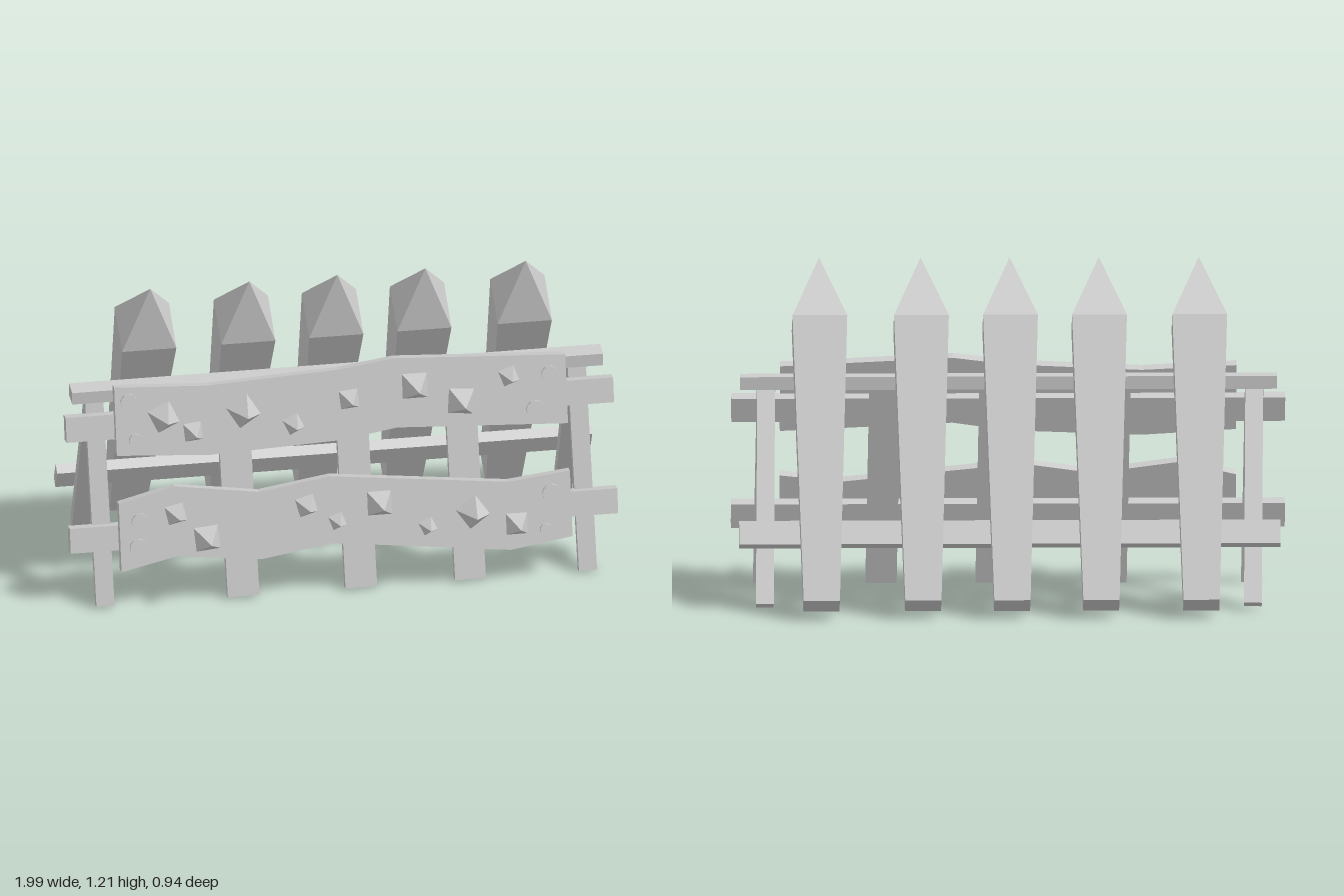
import * as THREE from 'three';

const material = new THREE.MeshStandardMaterial({ color: 0xcccccc, flatShading: true });
const TILT = THREE.MathUtils.degToRad(-15);
const UP = new THREE.Vector3(0, 1, 0);

function addMesh(parent, name, geometry) {
  const mesh = new THREE.Mesh(geometry, material);
  mesh.name = name;
  parent.add(mesh);
  return mesh;
}

// Square timber running from point a to point b
function addPost(parent, name, a, b, width, depth) {
  const start = new THREE.Vector3(...a), end = new THREE.Vector3(...b);
  const dir = end.clone().sub(start);
  const post = addMesh(parent, name, new THREE.BoxGeometry(width, dir.length(), depth));
  post.position.copy(start).add(end).multiplyScalar(0.5);
  post.quaternion.setFromUnitVectors(UP, dir.normalize());
}

// Horizontal timber, turned about its own length
function addRail(parent, name, length, height, depth, y, z, angle) {
  const rail = addMesh(parent, name, new THREE.BoxGeometry(length, height, depth));
  rail.position.set(0, y, z);
  rail.rotation.x = angle;
}

// Wavy plank carrying spikes and bolts; all heights are measured upright
function addPlank(parent, name, { y, z, outline, spikes, bolts }) {
  const plank = new THREE.Group();
  plank.name = name;
  plank.position.set(0, y, z);
  plank.rotation.x = TILT;
  parent.add(plank);
  const along = (h) => (h - y) / Math.cos(TILT);

  const top = outline.map(([x, hi]) => new THREE.Vector2(x, along(hi)));
  const bottom = outline.map(([x, , lo]) => new THREE.Vector2(x, along(lo))).reverse();
  const board = new THREE.ExtrudeGeometry(new THREE.Shape([...bottom, ...top]),
    { depth: 0.043, bevelEnabled: false });
  addMesh(plank, 'board', board.translate(0, 0, -0.043));

  for (const [x, h, size, turn] of spikes) {
    const length = 0.04 + size * 0.95;
    const geometry = new THREE.ConeGeometry(size / Math.SQRT2, length, 4, 1)
      .rotateY(Math.PI / 4 + THREE.MathUtils.degToRad(turn))
      .translate(0, length / 2 - 0.004, 0)
      .rotateX(Math.PI / 2);
    addMesh(plank, 'spike', geometry).position.set(x, along(h), 0);
  }
  for (const [x, h, radius] of bolts) {
    const geometry = new THREE.CylinderGeometry(radius, radius, 0.024, 12).rotateX(Math.PI / 2);
    addMesh(plank, 'bolt', geometry).position.set(x, along(h), 0);
  }
}

export function createModel() {
  const model = new THREE.Group();
  model.name = 'spikedBarricade';

  // Sharpened stakes leaning forward
  const stakeProfile = [[0, 0], [0.065, 0], [0.0985, 1.063], [0, 1.309]]
    .map(([half, h]) => new THREE.Vector2(half * Math.SQRT2, h));
  const stakeGeometry = new THREE.LatheGeometry(stakeProfile, 4, Math.PI / 4);
  for (const x of [-0.685, -0.325, -0.005, 0.315, 0.68]) {
    const stake = addMesh(model, 'stake', stakeGeometry);
    stake.position.set(x, 0.041, -0.4125);
    stake.rotation.x = Math.atan2(0.48, 0.949);
  }

  // Legs: five in front, two behind
  for (const [x, width] of [[-0.872, 0.066], [-0.37, 0.115], [0.058, 0.115], [0.455, 0.112], [0.882, 0.066]]) {
    addPost(model, 'frontLeg', [x, 0.004, 0.322], [x - 0.011, 0.755, 0.121], width, 0.033);
  }
  for (const x of [-0.872, 0.882]) {
    addPost(model, 'backLeg', [x, 0.018, -0.27], [x - 0.011, 0.755, 0.126], 0.064, 0.04);
  }

  // Cross timbers
  addRail(model, 'topBeam', 1.93, 0.047, 0.074, 0.767, 0.117, 0);
  addRail(model, 'upperFrontRail', 1.99, 0.092, 0.05, 0.662, 0.182, TILT);
  addRail(model, 'lowerFrontRail', 1.99, 0.092, 0.05, 0.26, 0.28, TILT);
  addRail(model, 'backRail', 1.945, 0.09, 0.043, 0.264, -0.193, 0.51);

  // Front planks: outline is [x, top, bottom], spikes [x, y, size, turn], bolts [x, y, radius]
  addPlank(model, 'upperPlank', {
    y: 0.7, z: 0.236,
    outline: [[-0.82, 0.827, 0.583], [-0.48, 0.81, 0.562], [-0.005, 0.832, 0.58],
      [0.2, 0.858, 0.61], [0.82, 0.827, 0.58]],
    spikes: [[-0.645, 0.71, 0.09, 25], [-0.54, 0.65, 0.068, 5], [-0.355, 0.71, 0.094, 32], [-0.175, 0.65, 0.062, 25],
      [0.03, 0.725, 0.07, 5], [0.27, 0.755, 0.094, 0], [0.435, 0.688, 0.094, -5], [0.612, 0.765, 0.062, 20]],
    bolts: [[-0.77, 0.773, 0.03], [-0.75, 0.635, 0.024], [0.76, 0.763, 0.03], [0.703, 0.64, 0.033]],
  });
  addPlank(model, 'lowerPlank', {
    y: 0.3, z: 0.342,
    outline: [[-0.82, 0.41, 0.166], [-0.615, 0.458, 0.208], [-0.31, 0.416, 0.175],
      [-0.05, 0.453, 0.214], [0.595, 0.386, 0.142], [0.82, 0.41, 0.175]],
    spikes: [[-0.615, 0.36, 0.07, 12], [-0.505, 0.265, 0.09, 5], [-0.14, 0.355, 0.07, 15], [-0.03, 0.292, 0.054, 20],
      [0.125, 0.345, 0.09, 0], [0.297, 0.25, 0.054, 25], [0.462, 0.288, 0.092, 35], [0.62, 0.235, 0.08, 0]],
    bolts: [[-0.745, 0.341, 0.032], [-0.755, 0.25, 0.032], [0.75, 0.336, 0.034], [0.723, 0.208, 0.021]],
  });

  return model;
}
